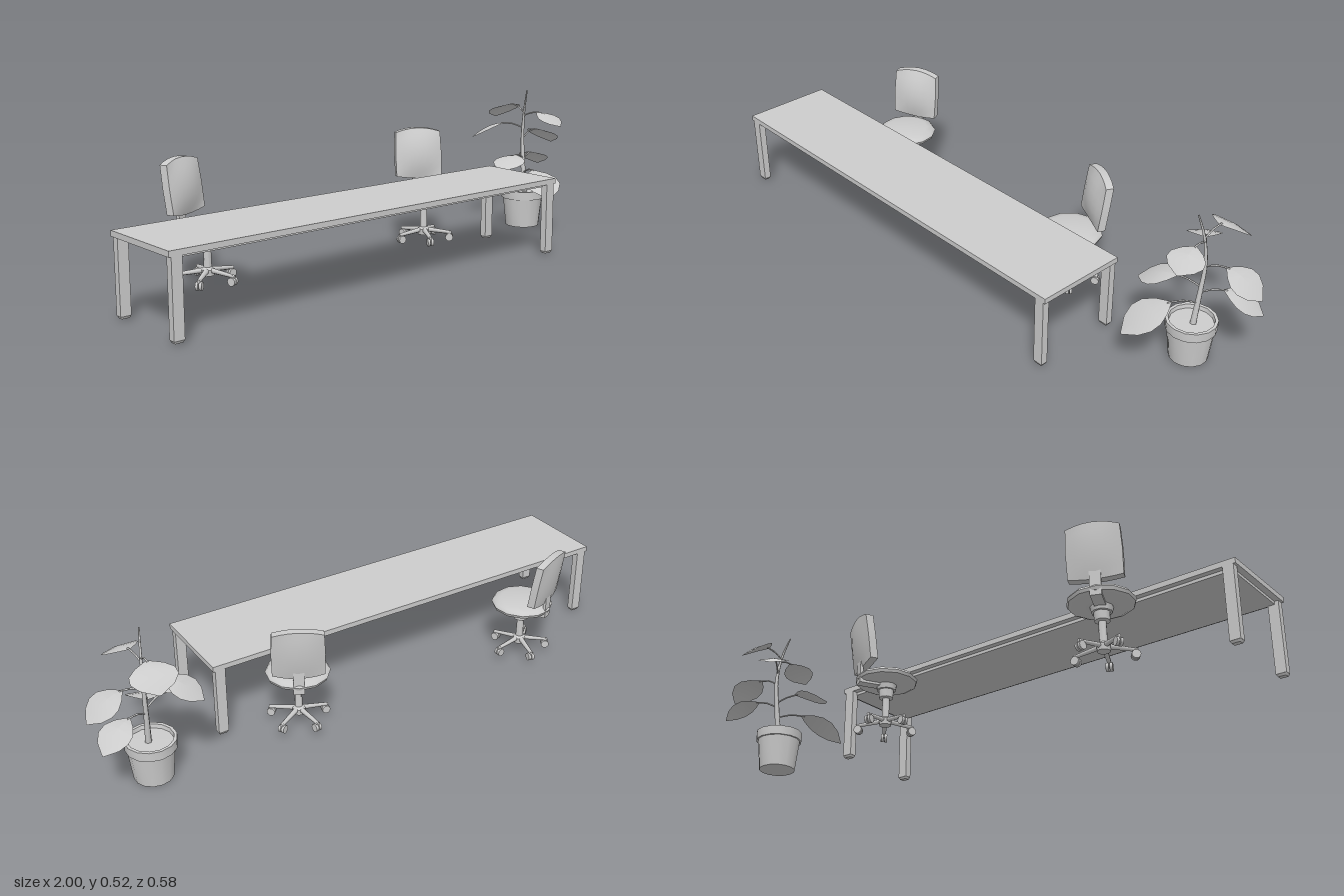
import * as THREE from 'three';
import { toCreasedNormals } from 'three/addons/utils/BufferGeometryUtils.js';

const grey = new THREE.MeshStandardMaterial({ color: 0xcccccc });
grey.name = 'plain grey';
const greyThin = new THREE.MeshStandardMaterial({ color: 0xcccccc, side: THREE.DoubleSide });
greyThin.name = 'plain grey leaf';

const V = (x, y, z) => new THREE.Vector3(x, y, z);

function add(parent, name, geometry, x = 0, y = 0, z = 0, material = grey) {
  const mesh = new THREE.Mesh(geometry, material);
  mesh.name = name;
  mesh.position.set(x, y, z);
  parent.add(mesh);
  return mesh;
}

function lathe(points, sides, crease = 0.7) {
  const profile = points.map(([r, y]) => new THREE.Vector2(r, y));
  return toCreasedNormals(new THREE.LatheGeometry(profile, sides), crease);
}

// Long table with a recessed underside panel and four legs
function createTable() {
  const table = new THREE.Group();
  table.name = 'table';
  add(table, 'tableTop', new THREE.BoxGeometry(1.54, 0.018, 0.317), 0, 0.259, 0);
  add(table, 'undersidePanel', new THREE.BoxGeometry(1.5, 0.01, 0.277), 0, 0.245, 0);
  for (const sx of [-1, 1]) for (const sz of [-1, 1]) {
    add(table, 'tableLeg', new THREE.BoxGeometry(0.035, 0.237, 0.024), sx * 0.745, 0.1315, sz * 0.146);
    add(table, 'legFoot', new THREE.CylinderGeometry(0.024, 0.018, 0.008, 4, 1).rotateY(Math.PI / 4).scale(1, 1, 0.68),
      sx * 0.745, 0.009, sz * 0.146);
  }
  table.position.set(-0.229, 0, 0.119);
  table.rotation.y = 0.0145;
  return table;
}

// Padded backrest: a box bulged forwards, arched on top and leaning back
function backrestGeometry() {
  const geo = new THREE.BoxGeometry(0.17, 0.18, 0.026, 6, 6, 1);
  const p = geo.attributes.position;
  for (let i = 0; i < p.count; i++) {
    const u = p.getX(i) / 0.085, v = p.getY(i) / 0.09, front = p.getZ(i) > 0;
    const round = (1 - u * u) * (1 - v * v);
    const lean = -0.011 * v;
    const x = p.getX(i) * (v > 0 ? 1 - 0.04 * v : 1 + 0.02 * v);
    const y = p.getY(i) - 0.014 * u * u * Math.max(v, 0) + 0.01 * u * u * Math.max(-v, 0);
    p.setXYZ(i, x, y, p.getZ(i) + lean + 0.006 * u * u + round * (front ? 0.022 : -0.008));
  }
  return toCreasedNormals(geo, 0.8);
}

// Swivel chair with a five-armed caster base
function createChair(name, x, z, turn) {
  const chair = new THREE.Group();
  chair.name = name;
  add(chair, 'seat', lathe([[0, 0.186], [0.085, 0.186], [0.102, 0.194], [0.106, 0.204],
    [0.098, 0.214], [0.075, 0.22], [0, 0.222]], 12));
  add(chair, 'backrest', backrestGeometry(), 0, 0.323, -0.092);
  add(chair, 'backSupport', new THREE.BoxGeometry(0.035, 0.1, 0.01), 0, 0.23, -0.095);
  add(chair, 'supportBar', new THREE.BoxGeometry(0.035, 0.01, 0.09), 0, 0.183, -0.055);
  add(chair, 'seatMechanism', lathe([[0, 0.165], [0.032, 0.168], [0.036, 0.187], [0, 0.188]], 10));
  add(chair, 'column', lathe([[0, 0.04], [0.02, 0.042], [0.022, 0.062], [0.013, 0.07], [0.012, 0.138],
    [0.024, 0.14], [0.026, 0.168], [0, 0.17]], 10));
  for (let i = 0; i < 5; i++) {
    const spoke = new THREE.Group();
    spoke.name = 'baseSpoke';
    const arm = new THREE.CylinderGeometry(0.006, 0.009, 0.09, 6);
    add(spoke, 'baseArm', arm.rotateX(Math.PI / 2), 0, 0.054, 0.056).rotation.x = 0.12;
    add(spoke, 'casterStem', new THREE.CylinderGeometry(0.004, 0.004, 0.02, 6), 0, 0.044, 0.095);
    for (const s of [-1, 1])
      add(spoke, 'casterWheel', new THREE.CylinderGeometry(0.014, 0.014, 0.009, 10).rotateZ(Math.PI / 2),
        s * 0.006, 0.033, 0.093);
    spoke.rotation.y = (i / 5) * Math.PI * 2;
    chair.add(spoke);
  }
  chair.position.set(x, 0, z);
  chair.rotation.y = turn;
  return chair;
}

// Broad leaf blade swept along an arching midrib
function leafGeometry(curve, width) {
  const widths = [0.05, 0.6, 0.95, 1, 0.72, 0.04];
  const pos = [], index = [];
  const a = curve.getPoint(0), b = curve.getPoint(1);
  const side = V(-(b.z - a.z), 0, b.x - a.x).normalize();
  widths.forEach((w, i) => {
    const mid = curve.getPoint(0.36 + 0.64 * i / (widths.length - 1));
    for (const s of [-1, 0, 1]) {
      const q = mid.clone().addScaledVector(side, s * w * width / 2);
      pos.push(q.x, q.y - Math.abs(s) * w * 0.008, q.z);
    }
    if (i === 0) return;
    for (const k of [0, 1]) {
      const n = i * 3 + k, m = n - 3;
      index.push(m, m + 1, n, m + 1, n + 1, n);
    }
  });
  const geo = new THREE.BufferGeometry();
  geo.setAttribute('position', new THREE.Float32BufferAttribute(pos, 3));
  geo.setIndex(index);
  return toCreasedNormals(geo, 0.3);
}

// Potted plant with a tapering stem and seven leaves
function createPlant() {
  const plant = new THREE.Group();
  plant.name = 'pottedPlant';
  add(plant, 'pot', lathe([[0, 0], [0.063, 0], [0.075, 0.108], [0.081, 0.108], [0.082, 0.14],
    [0.072, 0.14], [0.07, 0.126], [0, 0.128]], 14), 0.79, 0, -0.121);

  const stemPath = new THREE.CatmullRomCurve3([V(0.797, 0.125, -0.12), V(0.8, 0.23, -0.132),
    V(0.803, 0.34, -0.141), V(0.797, 0.44, -0.129), V(0.785, 0.522, -0.105)]);
  const rings = 12, sides = 6;
  const stem = new THREE.TubeGeometry(stemPath, rings, 1, sides);
  const p = stem.attributes.position;
  for (let i = 0; i < p.count; i++) {
    const t = Math.floor(i / (sides + 1)) / rings;
    const c = stemPath.getPointAt(t), r = 0.011 - 0.0085 * t;
    p.setXYZ(i, c.x + (p.getX(i) - c.x) * r, c.y + (p.getY(i) - c.y) * r, c.z + (p.getZ(i) - c.z) * r);
  }
  add(plant, 'stem', stem);

  // Each leaf: height on stem, tip position, rise of the arch, blade width
  const leaves = [
    [0.2, V(0.7, 0.145, 0.1), 0.07, 0.14],
    [0.255, V(0.617, 0.238, -0.06), 0.055, 0.12],
    [0.37, V(0.675, 0.332, -0.285), 0.05, 0.11],
    [0.43, V(0.81, 0.4, -0.293), 0.065, 0.145],
    [0.33, V(0.995, 0.295, -0.17), 0.07, 0.13],
    [0.235, V(0.975, 0.205, -0.22), 0.07, 0.115],
    [0.42, V(0.83, 0.393, 0.027), 0.045, 0.12],
  ];
  for (const [height, tip, rise, width] of leaves) {
    const start = stemPath.getPoint(0);
    for (let t = 0; t < 1 && start.y < height; t += 0.01) start.copy(stemPath.getPoint(t));
    const control = start.clone().lerp(tip, 0.5);
    control.y = Math.max(start.y, tip.y) + rise;
    const curve = new THREE.QuadraticBezierCurve3(start, control, tip);
    add(plant, 'leaf', leafGeometry(curve, width), 0, 0, 0, greyThin);
    const stalk = new THREE.CatmullRomCurve3([0, 0.2, 0.42].map((t) => curve.getPoint(t)));
    add(plant, 'leafStalk', new THREE.TubeGeometry(stalk, 4, 0.003, 5));
  }
  return plant;
}

export function createModel() {
  const model = new THREE.Group();
  model.name = 'officeSet';
  model.add(
    createTable(),
    createChair('leftChair', -0.615, -0.14, 0.41),
    createChair('rightChair', 0.273, -0.115, -0.47),
    createPlant(),
  );
  return model;
}
